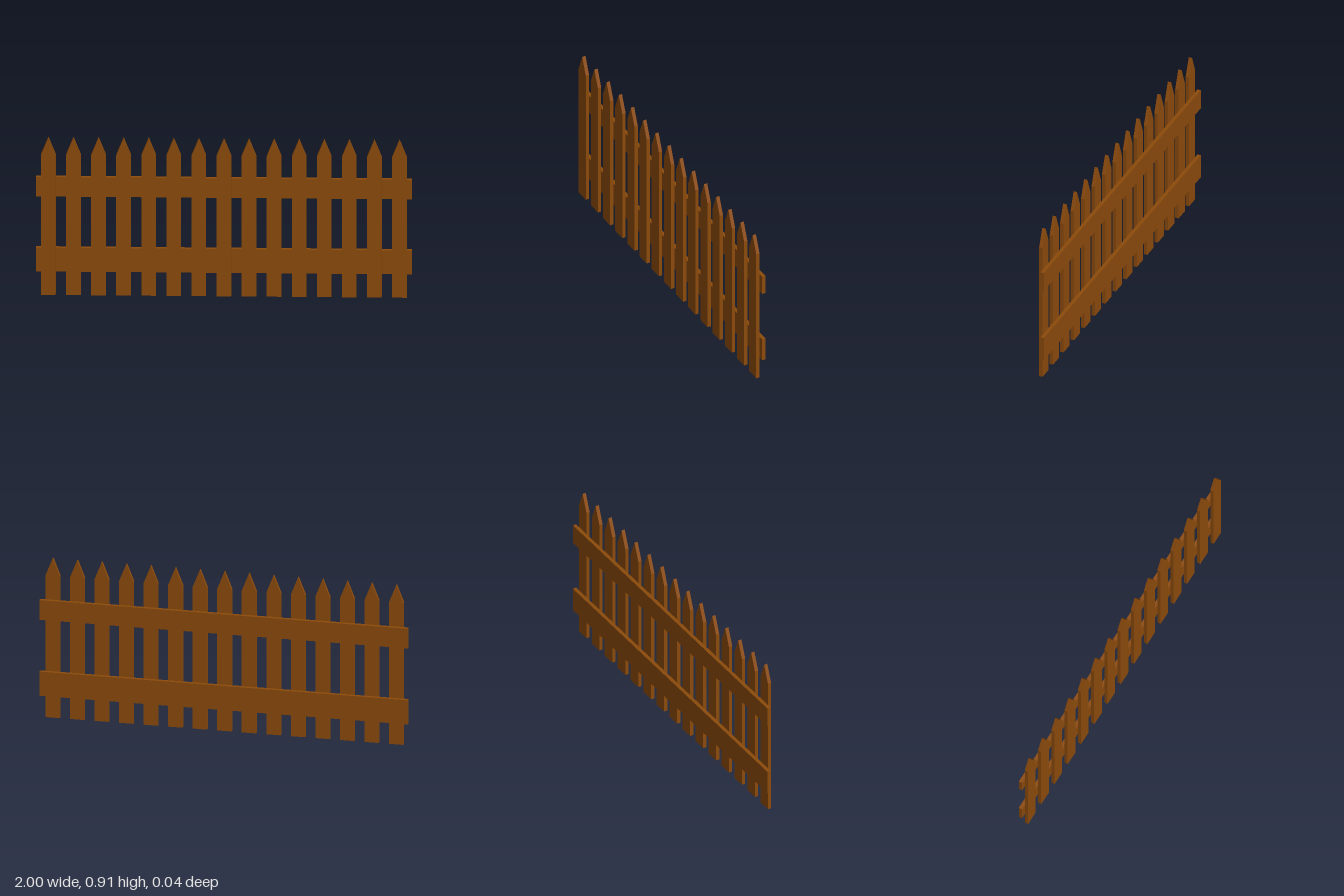
import * as THREE from 'three';

export function createModel() {
  const fence = new THREE.Group();
  fence.name = 'picketFence';
  const wood = new THREE.MeshStandardMaterial({ color: 0x8b4a0b, flatShading: true });

  const thickness = 0.02;
  const count = 15;
  const spacing = 0.1333;
  const halfWidth = 0.039;

  // Pointed picket outline, extruded forward from z = 0
  const outline = new THREE.Shape([
    new THREE.Vector2(-halfWidth, 0),
    new THREE.Vector2(halfWidth, 0),
    new THREE.Vector2(halfWidth, 0.81),
    new THREE.Vector2(0, 0.91),
    new THREE.Vector2(-halfWidth, 0.81),
  ]);
  const picketGeometry = new THREE.ExtrudeGeometry(outline, { depth: thickness, bevelEnabled: false });

  // Row of evenly spaced pickets
  for (let i = 0; i < count; i++) {
    const picket = new THREE.Mesh(picketGeometry, wood);
    picket.name = `picket${i + 1}`;
    picket.position.x = (i - (count - 1) / 2) * spacing;
    fence.add(picket);
  }

  // Horizontal rails behind the pickets
  const addRail = (name, bottom, top) => {
    const rail = new THREE.Mesh(new THREE.BoxGeometry(2, top - bottom, thickness), wood);
    rail.name = name;
    rail.position.set(0, (bottom + top) / 2, -thickness / 2);
    fence.add(rail);
  };
  addRail('lowerRail', 0.127, 0.265);
  addRail('upperRail', 0.561, 0.674);

  return fence;
}
